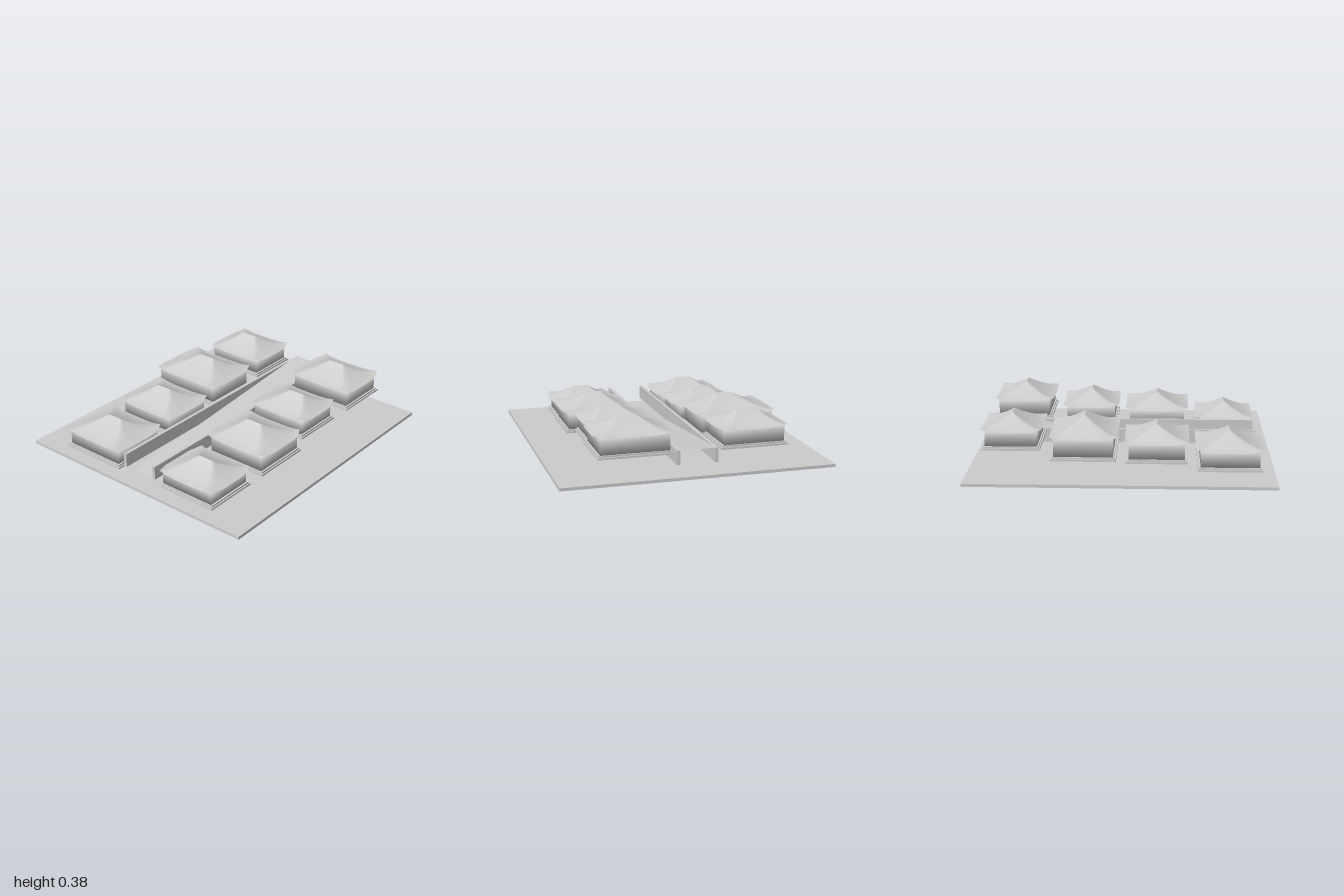
import * as THREE from 'three';
import { mergeVertices } from 'three/addons/utils/BufferGeometryUtils.js';

const grey = new THREE.MeshStandardMaterial({ color: 0xcccccc, side: THREE.DoubleSide });
grey.name = 'plain grey';

function part(name, geometry, x = 0, y = 0, z = 0) {
  const mesh = new THREE.Mesh(geometry, grey);
  mesh.name = name;
  mesh.position.set(x, y, z);
  return mesh;
}

function block(name, w, h, d, x, bottom, z) {
  return part(name, new THREE.BoxGeometry(w, h, d), x, bottom + h / 2, z);
}

// House walls: a box with shared, softened normals
function softBox(w, h, d) {
  const g = new THREE.BoxGeometry(w, h, d);
  g.deleteAttribute('normal');
  g.deleteAttribute('uv');
  const merged = mergeVertices(g);
  merged.computeVertexNormals();
  return merged;
}

// Concave hipped roof: rings from a short ridge to an eave with raised, pinched corners
function roofGeometry(a, b, height, ridgeX) {
  const rings = 8, n = 12, around = n * 4;
  const pos = [], idx = [];
  for (let i = 0; i <= rings; i++) {
    const s = i / rings;
    for (let j = 0; j < around; j++) {
      const t = (j % n) / n * 2 - 1;
      const [u, v] = [[t, 1], [1, -t], [-t, -1], [-1, t]][Math.floor(j / n)];
      const pinch = Math.max(0, (Math.abs(v) - 0.55) / 0.45) ** 1.3 * 0.035;
      const x = THREE.MathUtils.lerp(ridgeX + u * 0.055, u * (a - pinch), s);
      const y = height * (1 - s) ** 1.4 + 0.016 * s ** 3 * (u * v) ** 4;
      pos.push(x, y, v * b * s);
    }
  }
  for (let i = 0; i < rings; i++) {
    for (let j = 0; j < around; j++) {
      const k = (j + 1) % around;
      const p = i * around + j, q = i * around + k;
      const r = p + around, m = q + around;
      idx.push(p, r, m, p, m, q);
    }
  }
  const g = new THREE.BufferGeometry();
  g.setAttribute('position', new THREE.Float32BufferAttribute(pos, 3));
  g.setIndex(idx);
  g.computeVertexNormals();
  return g;
}

// x0..x1 and z0..z1 are the eave limits
function house({ x0, x1, z0, z1, ridge, base, eave, peak }) {
  const g = new THREE.Group();
  g.name = 'house';
  const x = (x0 + x1) / 2, z = (z0 + z1) / 2;
  const w = x1 - x0, d = z1 - z0;
  g.add(block('lowerPlinth', w - 0.026, 0.012, d - 0.02, x, base, z));
  g.add(block('upperPlinth', w - 0.045, 0.012, d - 0.04, x, base + 0.011, z));
  const wallBottom = base + 0.022, wallHeight = eave - wallBottom + 0.002;
  g.add(part('walls', softBox(w - 0.07, wallHeight, d - 0.06), x, wallBottom + wallHeight / 2, z));
  g.add(part('roof', roofGeometry(w / 2, d / 2, peak - eave, ridge - x), x, eave, z));
  return g;
}

export function createModel() {
  const model = new THREE.Group();
  model.name = 'hillsideStreet';

  model.add(block('ground', 1.8, 0.02, 2, 0, 0, 0));

  // Sloping street, rising to the back
  const tilt = Math.atan2(0.17, 1.91);
  const street = part('street', new THREE.PlaneGeometry(0.21, Math.hypot(1.91, 0.17)), -0.003, 0.095, 0);
  street.rotation.x = -Math.PI / 2 + tilt;
  model.add(street);

  // Level walls on both sides of the street
  for (const x of [-0.127, 0.123]) model.add(block('streetWall', 0.022, 0.094, 1.81, x, 0.071, 0));

  // Two rows of houses, back to front
  const houses = [
    { x0: -0.62, x1: -0.145, z0: -0.92, z1: -0.52, ridge: -0.388, base: 0.148, eave: 0.27, peak: 0.364 },
    { x0: -0.715, x1: -0.147, z0: -0.465, z1: -0.02, ridge: -0.398, base: 0.11, eave: 0.25, peak: 0.355 },
    { x0: -0.636, x1: -0.147, z0: 0.02, z1: 0.445, ridge: -0.393, base: 0.073, eave: 0.2, peak: 0.296 },
    { x0: -0.673, x1: -0.163, z0: 0.487, z1: 0.93, ridge: -0.403, base: 0.035, eave: 0.162, peak: 0.26 },
    { x0: 0.142, x1: 0.658, z0: -0.93, z1: -0.513, ridge: 0.41, base: 0.148, eave: 0.28, peak: 0.377 },
    { x0: 0.142, x1: 0.615, z0: -0.443, z1: -0.045, ridge: 0.408, base: 0.11, eave: 0.236, peak: 0.33 },
    { x0: 0.166, x1: 0.658, z0: 0.005, z1: 0.452, ridge: 0.408, base: 0.073, eave: 0.207, peak: 0.306 },
    { x0: 0.152, x1: 0.622, z0: 0.505, z1: 0.915, ridge: 0.4, base: 0.035, eave: 0.15, peak: 0.245 },
  ];
  for (const h of houses) model.add(house(h));
  return model;
}
